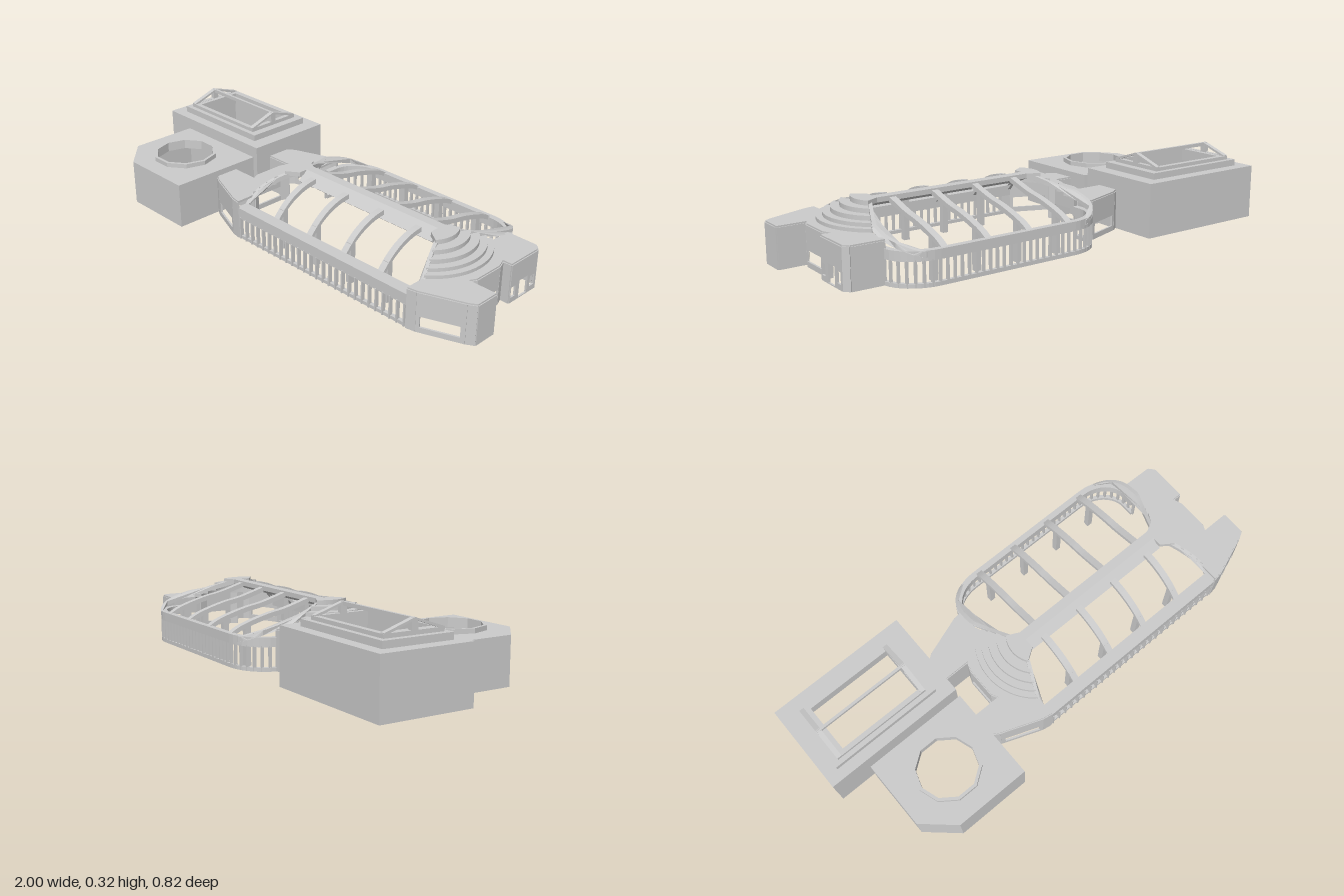
import * as THREE from 'three';

const BASE = 0.008;
const RIBS = [0.025, 0.213, 0.4, 0.588];
const mat = new THREE.MeshStandardMaterial({ color: 0xcccccc, side: THREE.DoubleSide });
const mirrorX = ([x, z]) => [0.61 - x, z];
const rect = (x0, x1, z0, z1) => [[x0, z0], [x1, z0], [x1, z1], [x0, z1]];
const toShape = (pts, holes = []) => {
  const s = new THREE.Shape(pts.map(p => new THREE.Vector2(...p)));
  holes.forEach(h => s.holes.push(new THREE.Path(h.map(p => new THREE.Vector2(...p)))));
  return s;
};
const extrude = (pts, depth, holes) =>
  new THREE.ExtrudeGeometry(toShape(pts, holes), { depth, bevelEnabled: false });

function add(parent, name, geo) {
  const m = new THREE.Mesh(geo, mat);
  m.name = name;
  parent.add(m);
  return m;
}
// Plan outline [x, z] raised between two heights
function slab(parent, name, pts, y0, y1, holes) {
  return add(parent, name, extrude(pts, y1 - y0, holes).rotateX(Math.PI / 2).translate(0, y1, 0));
}
function box(parent, name, x0, x1, y0, y1, z0, z1) {
  return add(parent, name, new THREE.BoxGeometry(x1 - x0, y1 - y0, z1 - z0)
    .translate((x0 + x1) / 2, (y0 + y1) / 2, (z0 + z1) / 2));
}
// Thin wall along a plan path; openings[segment] = list of [s0, s1, y0, y1]
function wall(parent, name, pts, y1, openings = {}) {
  const t = 0.008;
  for (let i = 0; i < pts.length - 1; i++) {
    const [ax, az] = pts[i], [bx, bz] = pts[i + 1];
    const len = Math.hypot(bx - ax, bz - az);
    const holes = (openings[i] || []).map(([s0, s1, h0, h1]) => rect(s0 * len, s1 * len, h0, h1));
    const m = add(parent, name, extrude(rect(0, len, BASE, y1), t, holes).translate(0, 0, -t / 2));
    m.position.set(ax, 0, az);
    m.rotation.y = -Math.atan2(bz - az, bx - ax);
  }
}

// Stepped half domes: concentric bands cut along the slanting vault edge
const DOME_Z = 0.01;
function arc(r, n = 20) {
  const end = Math.acos(0.0593 / r) - 0.4229;
  return Array.from({ length: n + 1 }, (_, i) => {
    const a = -end + (2 * end * i) / n;
    return [-r * Math.cos(a), DOME_Z + r * Math.sin(a)];
  });
}
function steppedDome(parent, map) {
  const radii = [0.25, 0.225, 0.195, 0.16, 0.12], tops = [0.175, 0.19, 0.205, 0.223, 0.241, 0.26];
  radii.forEach((r, i) => {
    const inner = i < 4 ? arc(radii[i + 1] - 0.006).reverse() : [[-0.045, 0.045], [-0.045, -0.035]];
    slab(parent, 'domeStep', [...arc(r), ...inner].map(map), tops[i], tops[i + 1]);
  });
}

// Plan of the rounded rear end, inset by d
function rearPath(d) {
  const half = [[-0.165 + d, -0.22]];
  for (let i = 0; i <= 10; i++) {
    const a = (i / 10) * Math.PI / 2;
    half.push([-(0.165 - d) * Math.cos(a), -0.27 - (0.137 - d) * Math.sin(a)]);
  }
  return [...half, ...half.map(mirrorX).reverse()];
}

// Curved roof rib in the z-y plane; shift(z) bends it sideways
const FRONT = [[0.035, 0.255], [0.08, 0.248], [0.12, 0.235], [0.16, 0.215], [0.2, 0.185], [0.245, 0.138]];
const REAR = [[-0.03, 0.255], [-0.14, 0.222], [-0.22, 0.206], [-0.3, 0.184], [-0.36, 0.162], [-0.4, 0.138]];
function rib(parent, name, profile, width, x, shift) {
  const top = new THREE.SplineCurve(profile.map(p => new THREE.Vector2(...p))).getPoints(28).map(p => [p.x, p.y]);
  const low = top.map(([z, y]) => [z, y - 0.02]).reverse();
  const g = extrude([...top, ...low], width).rotateY(-Math.PI / 2).translate(x + width / 2, 0, 0);
  if (shift) {
    const p = g.attributes.position;
    for (let i = 0; i < p.count; i++) p.setX(i, p.getX(i) + shift(p.getZ(i)));
    g.computeVertexNormals();
  }
  add(parent, name, g);
}
function edgeX(z) {
  if (z < -0.27) return -0.155 * Math.sqrt(Math.max(0, 1 - ((z + 0.27) / 0.137) ** 2));
  return -0.06 - 0.45 * Math.min(Math.abs(z), 0.212);
}

function buildHall() {
  const g = new THREE.Group();
  g.name = 'mainHall';
  // Side wings with roofs around the domes
  const win = [[0.1, 0.92, 0.03, 0.075]];
  const mid = [[-0.27, -0.1], [-0.285, -0.06], [-0.285, 0.07], [-0.27, 0.1], [-0.39, 0.1], [-0.39, 0.2],
    [-0.36, 0.218], [-0.19, 0.283], [-0.15, 0.29]];
  const left = [[-0.155, -0.285], [-0.19, -0.282], [-0.36, -0.222], [-0.39, -0.2], [-0.39, -0.1], ...mid];
  const right = [[-0.155, -0.285], [-0.29, -0.282], [-0.31, -0.26], [-0.31, -0.1], ...mid].map(mirrorX);
  const inner = [[-0.15, 0.235], ...arc(0.245).reverse(), [-0.155, -0.22]];
  wall(g, 'leftWingWall', left, 0.17, { 1: win, 6: [[0.01, 0.99, 0.03, 0.075]], 11: win });
  wall(g, 'rightWingWall', right, 0.17, {
    2: [[0.06, 0.24, 0.03, 0.075], [0.34, 0.66, 0.012, 0.085], [0.8, 0.97, 0.03, 0.075]],
    5: [[0.01, 0.99, 0.03, 0.075]], 10: win,
  });
  slab(g, 'leftWingRoof', [...left, ...inner], 0.167, 0.176);
  slab(g, 'rightWingRoof', [...right, ...inner.map(mirrorX)], 0.167, 0.176);
  steppedDome(g, p => p);
  steppedDome(g, mirrorX);

  // Ridge beam, ribs and columns
  const ridge = extrude([[-0.035, 0.26], [0.005, 0.26], [0.045, 0.22], [0.035, 0.212], [-0.035, 0.24]], 0.71);
  add(g, 'ridgeBeam', ridge.rotateY(-Math.PI / 2).translate(0.66, 0, 0));
  for (const x of RIBS) {
    rib(g, 'frontRib', FRONT, 0.028, x);
    rib(g, 'rearRib', REAR, 0.028, x);
    box(g, 'frontColumn', x - 0.012, x + 0.012, 0, 0.175, 0.188, 0.212);
    box(g, 'rearColumn', x - 0.012, x + 0.012, 0, 0.168, -0.328, -0.304);
  }
  for (const profile of [FRONT, REAR]) {
    rib(g, 'leftVaultEdge', profile, 0.016, 0, edgeX);
    rib(g, 'rightVaultEdge', profile, 0.016, 0.61, z => -edgeX(z));
  }

  // Glazed front
  box(g, 'frontEave', -0.16, 0.77, 0.1, 0.145, 0.237, 0.29);
  box(g, 'frontSill', -0.155, 0.765, BASE, 0.022, 0.272, 0.288);
  for (let i = 0; i <= 26; i++) {
    const x = -0.14 + (i * 0.89) / 26;
    box(g, 'frontMullion', x - 0.003, x + 0.003, BASE, 0.105, 0.277, 0.293);
  }
  // Glazed rounded rear
  const ring = d => [...rearPath(0), ...rearPath(d).reverse()];
  slab(g, 'rearEave', ring(0.026), 0.105, 0.143);
  slab(g, 'rearSill', ring(0.016), BASE, 0.024);
  const path = new THREE.CurvePath();
  const pts = rearPath(0.006).map(([x, z]) => new THREE.Vector3(x, 0, z));
  for (let i = 1; i < pts.length; i++) path.add(new THREE.LineCurve3(pts[i - 1], pts[i]));
  for (let i = 0; i <= 38; i++) {
    const p = path.getPointAt(i / 38);
    box(g, 'rearMullion', p.x - 0.004, p.x + 0.004, BASE, 0.11, p.z - 0.006, p.z + 0.006);
  }
  return g;
}

function buildSkylightBlock() {
  const g = new THREE.Group();
  g.name = 'skylightBlock';
  const opening = rect(-0.88, -0.51, -0.315, -0.105);
  slab(g, 'blockWalls', rect(-1, -0.39, -0.41, -0.02), BASE, 0.23, [rect(-0.99, -0.4, -0.4, -0.03)]);
  slab(g, 'blockRoof', rect(-1, -0.39, -0.41, -0.02), 0.228, 0.237, [opening]);
  slab(g, 'roofTier', rect(-0.945, -0.455, -0.36, -0.065), 0.237, 0.264, [opening]);
  slab(g, 'skylightCurb', rect(-0.92, -0.49, -0.338, -0.085), 0.264, 0.279, [opening]);
  // Gable frames and ridge
  const gable = [[-0.335, 0.277], [-0.085, 0.277], [-0.085, 0.282], [-0.21, 0.323], [-0.335, 0.282]];
  const holes = [-1, 1].map(s => [[-0.21 + s * 0.013, 0.28], [-0.21 + s * 0.1, 0.28], [-0.21 + s * 0.013, 0.31]]);
  for (const x of [-0.49, -0.9])
    add(g, 'gableFrame', extrude(gable, 0.02, holes).rotateY(-Math.PI / 2).translate(x, 0, 0));
  box(g, 'skylightRidge', -0.92, -0.49, 0.307, 0.322, -0.216, -0.204);
  return g;
}

function buildLanternBlock() {
  const g = new THREE.Group();
  g.name = 'lanternBlock';
  const decagon = r => Array.from({ length: 10 }, (_, i) =>
    [-0.613 + r * Math.cos(i * Math.PI / 5), 0.2 + r * Math.sin(i * Math.PI / 5)]);
  const outline = d => [[-0.84 + d, d], [-0.39 - d, d], [-0.39 - d, 0.406 - d],
    [-0.715 + d / 2, 0.406 - d], [-0.84 + d, 0.293 - d / 2]];
  slab(g, 'lanternWalls', outline(0), BASE, 0.195, [outline(0.01)]);
  slab(g, 'lanternRoof', outline(0), 0.192, 0.201, [decagon(0.125)]);
  slab(g, 'lanternRing', decagon(0.138), 0.18, 0.22, [decagon(0.125)]);
  return g;
}

export function createModel() {
  const model = new THREE.Group();
  model.name = 'exhibitionHall';
  model.add(buildHall(), buildSkylightBlock(), buildLanternBlock());
  return model;
}
